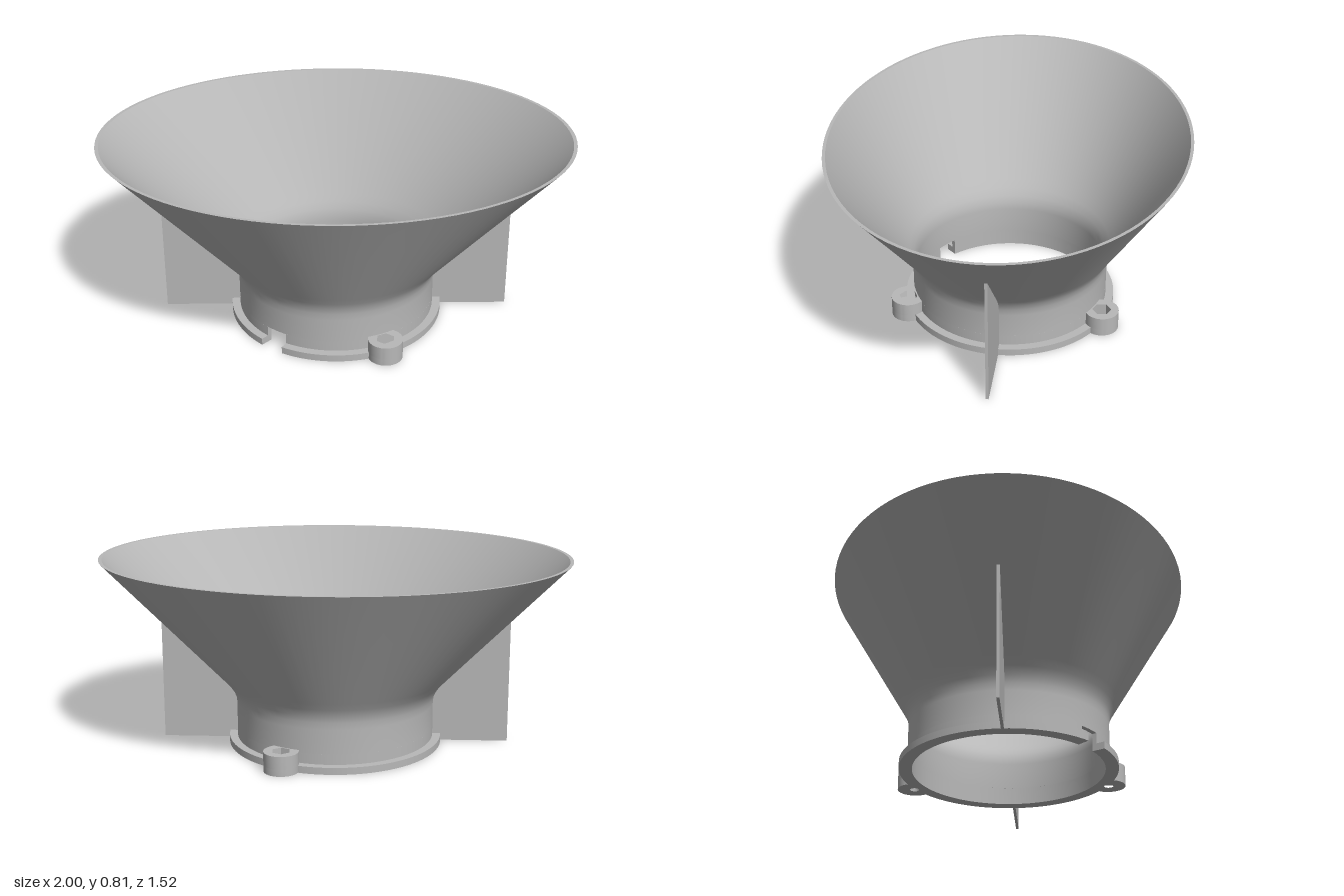
import * as THREE from 'three';
import { toCreasedNormals } from 'three/addons/utils/BufferGeometryUtils.js';

const SEG = 96;
const INNER = 0.405;
const WALL = 0.425;
const NOTCH = { angle: THREE.MathUtils.degToRad(127), half: 0.115, top: 0.075 };
const BOSS = { x: 0.2, z: 0.42, r: 0.073, top: 0.085, floor: 0.03 };
const bossAngle = Math.atan2(BOSS.z, BOSS.x);

// Extrude a plan-view shape (shape y = -z) upward from y0 to y1
function slab(shape, y0, y1) {
  const g = new THREE.ExtrudeGeometry(shape, { depth: y1 - y0, bevelEnabled: false, curveSegments: 24 });
  g.rotateX(-Math.PI / 2).translate(0, y0, 0);
  return toCreasedNormals(g, 0.5);
}

// Plan-view ring interrupted by the cable notch; radius may vary with angle
function notchedRing(outerAt) {
  const start = -NOTCH.angle + NOTCH.half;
  const sweep = Math.PI * 2 - NOTCH.half * 2;
  const outer = [], inner = [];
  for (let i = 0; i <= SEG * 2; i++) {
    const a = start + (sweep * i) / (SEG * 2);
    const r = outerAt(a);
    outer.push(new THREE.Vector2(r * Math.cos(a), r * Math.sin(a)));
    inner.push(new THREE.Vector2(INNER * Math.cos(a), INNER * Math.sin(a)));
  }
  return new THREE.Shape([...outer, ...inner.reverse()]);
}

// Closed loop of [y, x radius, z radius] sections swept round the axis
function loftWall(sections) {
  const pos = [], idx = [];
  const n = sections.length;
  for (let j = 0; j < SEG; j++) {
    const a = (j / SEG) * Math.PI * 2;
    for (const [y, rx, rz] of sections) pos.push(rx * Math.cos(a), y, rz * Math.sin(a));
  }
  for (let j = 0; j < SEG; j++) {
    const k = (j + 1) % SEG;
    for (let i = 0; i < n; i++) {
      const m = (i + 1) % n;
      const a = j * n + i, b = j * n + m, c = k * n + m, d = k * n + i;
      idx.push(a, b, c, a, c, d);
    }
  }
  const g = new THREE.BufferGeometry();
  g.setAttribute('position', new THREE.Float32BufferAttribute(pos, 3));
  g.setIndex(idx);
  return toCreasedNormals(g.toNonIndexed(), 0.6);
}

// Round boss outline kept clear of the bore, with a hole of the given sides
function bossShape(holeRadius, holeSides) {
  const circle = (r, n) => Array.from({ length: n }, (_, i) => {
    const a = bossAngle + ((i + 0.5) / n) * Math.PI * 2;
    return new THREE.Vector2(BOSS.x + r * Math.cos(a), BOSS.z + r * Math.sin(a));
  });
  const outline = circle(BOSS.r, 48).map((p) => (p.length() < 0.412 ? p.setLength(0.412) : p));
  const shape = new THREE.Shape(outline);
  shape.holes.push(new THREE.Path(circle(holeRadius, holeSides)));
  return shape;
}

export function createModel() {
  const model = new THREE.Group();
  const grey = new THREE.MeshStandardMaterial({ color: 0xb8b8b8 });
  grey.name = 'grey';
  const add = (name, geometry, parent = model) => {
    const mesh = new THREE.Mesh(geometry, grey);
    mesh.name = name;
    parent.add(mesh);
    return mesh;
  };

  // Round collar blending into an oval flared mouth
  add('funnel', loftWall([
    [NOTCH.top, WALL, WALL], [0.18, WALL, WALL], [0.21, 0.429, 0.426], [0.24, 0.441, 0.432],
    [0.27, 0.462, 0.447], [0.3, 0.49, 0.464], [0.81, 1, 0.76],
    [0.81, 0.985, 0.747], [0.31, 0.478, 0.451], [0.28, 0.448, 0.433], [0.25, 0.424, 0.417],
    [0.22, 0.41, 0.408], [0.19, INNER, INNER], [NOTCH.top, INNER, INNER],
  ]));

  // Lower collar and base flange, both cut by the notch
  add('lowerCollar', slab(notchedRing(() => WALL), 0, NOTCH.top));
  const clearHole = (a) => {
    const wrapped = Math.abs(Math.atan2(Math.sin(a), Math.cos(a)));
    return Math.abs(wrapped - bossAngle) < 0.055 ? WALL : 0.46;
  };
  add('baseFlange', slab(notchedRing(clearHole), 0, 0.03));

  // Screw bosses: round hole below, hexagonal nut pocket above
  for (const side of [1, -1]) {
    const boss = new THREE.Group();
    boss.name = side > 0 ? 'backBoss' : 'frontBoss';
    const parts = [
      ['bossFloor', bossShape(0.02, 24), 0, BOSS.floor],
      ['nutPocket', bossShape(0.04, 6), BOSS.floor, BOSS.top],
    ];
    for (const [name, shape, y0, y1] of parts) {
      if (side < 0) {
        const flip = (pts) => pts.map((p) => new THREE.Vector2(p.x, -p.y));
        const mirrored = new THREE.Shape(flip(shape.getPoints()));
        mirrored.holes.push(new THREE.Path(flip(shape.holes[0].getPoints())));
        add(name, slab(mirrored, y0, y1), boss);
      } else add(name, slab(shape, y0, y1), boss);
    }
    model.add(boss);
  }

  // Flat support fins on both sides
  const finShape = new THREE.Shape([
    [0.415, 0], [0.75, 0], [0.75, 0.562], [0.485, 0.3], [0.455, 0.267], [0.415, 0.2],
  ].map(([x, y]) => new THREE.Vector2(x, y)));
  const finGeometry = new THREE.ExtrudeGeometry(finShape, { depth: 0.012, bevelEnabled: false });
  finGeometry.translate(0, 0, -0.006);
  add('leftFin', finGeometry);
  add('rightFin', finGeometry).rotation.y = Math.PI;

  return model;
}
